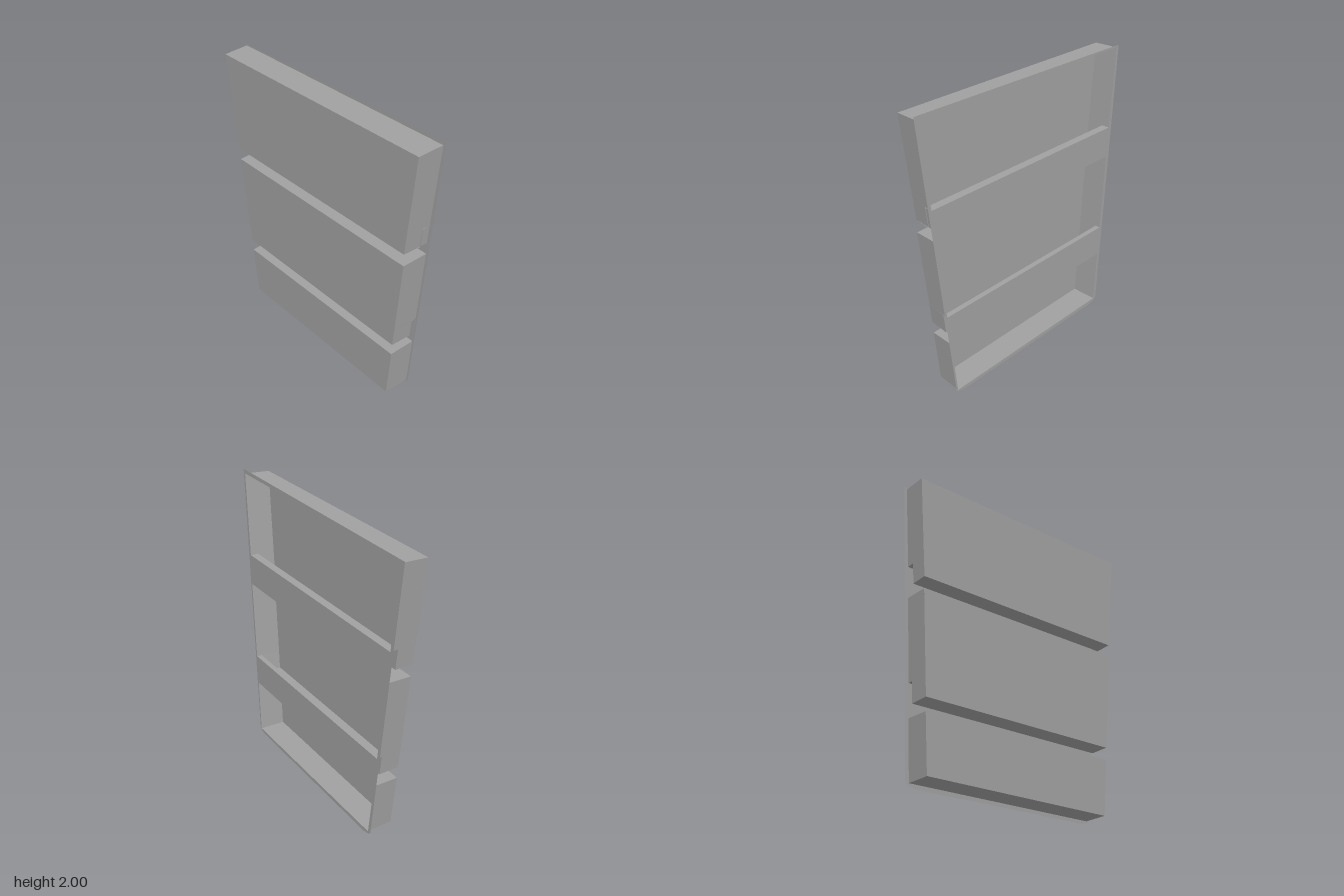
import * as THREE from 'three';

const grey = new THREE.MeshStandardMaterial({ color: 0xa0a0a0, side: THREE.DoubleSide });
grey.name = 'grey';

// the face sheet leans: x depends on height, as does the back of each bin
const faceX = (y) => 0.107 - 0.022 * y;
const backX = (y) => -0.074 - 0.018 * y;

// flat-shaded geometry from four-cornered faces
function quads(faces) {
  const pos = [];
  for (const [a, b, c, d] of faces) pos.push(...a, ...b, ...c, ...a, ...c, ...d);
  const g = new THREE.BufferGeometry();
  g.setAttribute('position', new THREE.Float32BufferAttribute(pos, 3));
  g.computeVertexNormals();
  return g;
}

// corners as [z, y]; index 0 is the +z end, index 1 the -z end
const bins = [
  { name: 'upperBin', top: [[0.86, 1.973], [-0.86, 1.943]], sill: [[0.806, 1.407], [-0.806, 1.39]],
    floor: [[0.793, 1.27], [-0.793, 1.252]], lip: 0.055, closed: true },
  { name: 'middleBin', top: [[0.795, 1.192], [-0.79, 1.177]], sill: [[0.746, 0.633], [-0.744, 0.626]],
    floor: [[0.734, 0.495], [-0.732, 0.488]], lip: 0.036 },
  { name: 'lowerBin', top: [[0.73, 0.417], [-0.728, 0.408]], sill: [[0.698, 0.028], [-0.695, 0.028]],
    floor: null, lip: 0 },
];

function buildBin({ name, top, sill, floor, lip, closed }) {
  const front = (p, inset = 0) => [faceX(p[1]) - inset, p[1], p[0]];
  const back = (p, drop = 0) => [backX(p[1]), p[1] - drop, p[0] - (p[0] > 0 ? 0.012 : 0)];
  const base = floor || sill;
  const faces = [
    [front(top[0]), front(top[1]), back(top[1], 0.008), back(top[0], 0.008)], // ceiling
    [back(top[0], 0.008), back(top[1], 0.008), back(base[1]), back(base[0])], // back panel
    [front(base[0], lip), back(base[0]), back(base[1]), front(base[1], lip)], // floor
  ];
  for (const i of [0, 1]) { // end walls
    faces.push([front(top[i]), back(top[i], 0.008), back(sill[i]), front(sill[i])]);
    if (floor) {
      const inset = closed && i === 0 ? 0 : lip;
      faces.push([front(sill[i], inset), back(sill[i]), back(floor[i]), front(floor[i], inset)]);
    }
  }
  if (floor) {
    faces.push([front(sill[0]), front(sill[1]), front(sill[1], lip), front(sill[0], lip)]); // ledge
    faces.push([front(sill[0], lip), front(sill[1], lip), front(floor[1], lip), front(floor[0], lip)]); // lip
  }
  const mesh = new THREE.Mesh(quads(faces), grey);
  mesh.name = name;
  return mesh;
}

// thin leaning sheet with one opening per bin
function buildFace() {
  const path = (pts) => pts.map(([z, y]) => new THREE.Vector2(-z, y));
  const shape = new THREE.Shape(path([
    [0.88, 2], [0.71, 0.022], [0.69, 0.014], [0.65, 0.004],
    [-0.65, 0.0], [-0.695, 0.012], [-0.72, 0.03], [-0.88, 1.956],
  ]));
  for (const { top, sill } of bins) {
    shape.holes.push(new THREE.Path(path([top[0], top[1], sill[1], sill[0]])));
  }
  const g = new THREE.ShapeGeometry(shape);
  const p = g.attributes.position;
  for (let i = 0; i < p.count; i++) {
    const z = -p.getX(i), y = p.getY(i);
    p.setXYZ(i, faceX(y), y, z);
  }
  g.computeVertexNormals();
  const mesh = new THREE.Mesh(g, grey);
  mesh.name = 'facePanel';
  return mesh;
}

export function createModel() {
  const group = new THREE.Group();
  group.name = 'storagePanel';
  group.add(buildFace(), ...bins.map(buildBin));
  return group;
}
